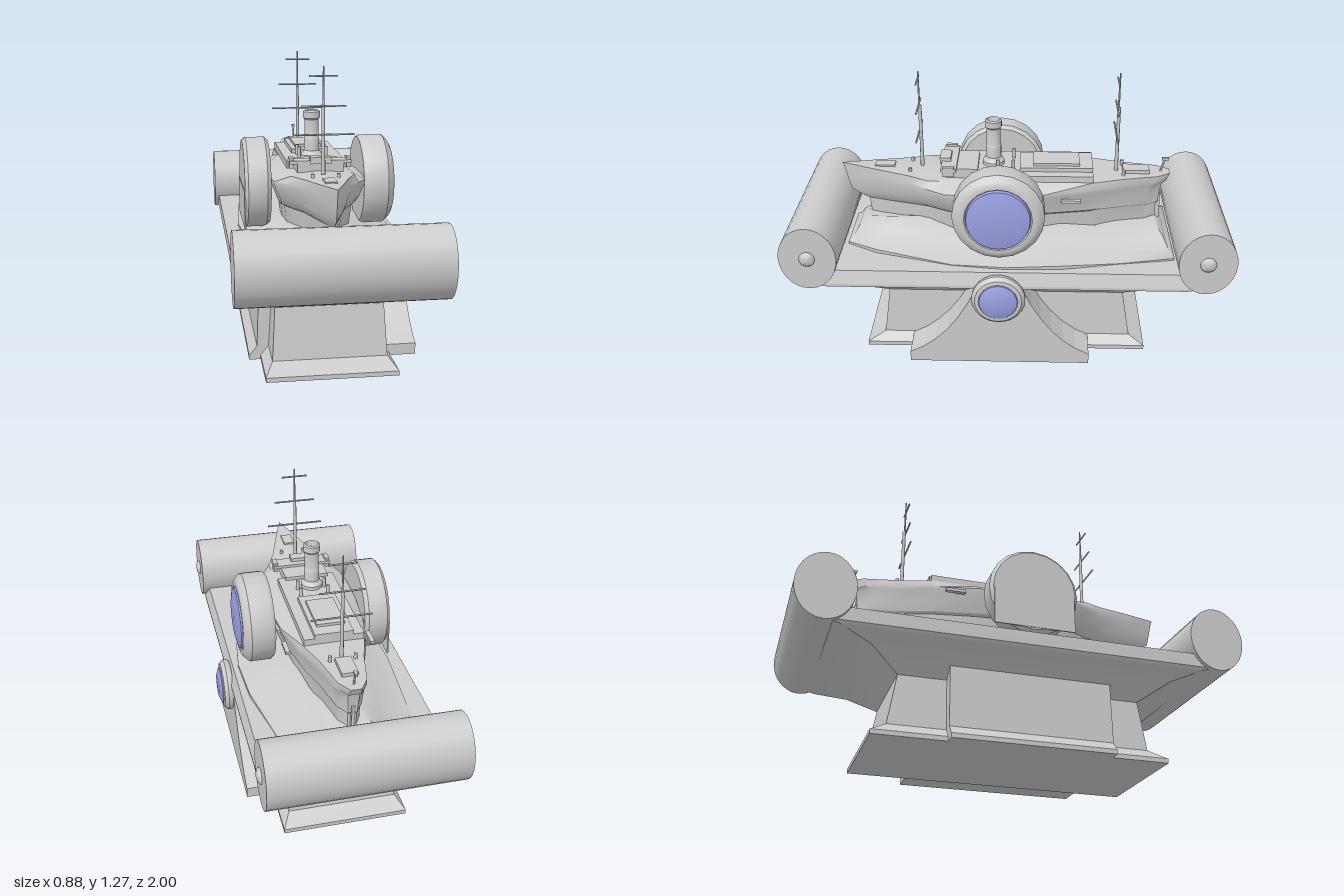
import * as THREE from 'three';
import { toCreasedNormals } from 'three/addons/utils/BufferGeometryUtils.js';

const grey = new THREE.MeshStandardMaterial({ color: 0xcccccc });
const blue = new THREE.MeshStandardMaterial({ color: 0x9aa0e4 });
const CX = -0.022; // centre line of the ship

// Skin a stack of rings (counterclockwise from above, listed bottom to top) and cap both ends.
function loft(rings, crease = 0.5) {
  const n = rings[0].length, pos = [], idx = [];
  rings.forEach(r => r.forEach(p => pos.push(...p)));
  for (let k = 0; k < rings.length - 1; k++) {
    for (let i = 0; i < n; i++) {
      const a = k * n + i, b = k * n + (i + 1) % n;
      idx.push(a, b, b + n, a, b + n, a + n);
    }
  }
  [[0, true], [rings.length - 1, false]].forEach(([k, flip]) => {
    const c = pos.length / 3;
    pos.push(...[0, 1, 2].map(j => rings[k].reduce((s, p) => s + p[j], 0) / n));
    for (let i = 0; i < n; i++) {
      const a = k * n + i, b = k * n + (i + 1) % n;
      idx.push(c, flip ? b : a, flip ? a : b);
    }
  });
  const g = new THREE.BufferGeometry();
  g.setAttribute('position', new THREE.Float32BufferAttribute(pos, 3));
  g.setIndex(idx);
  return toCreasedNormals(g, crease);
}

const rect = (x0, x1, z0, z1, y) => [[x1, y, z1], [x1, y, z0], [x0, y, z0], [x0, y, z1]];

// Turned part lying along x; the profile is [radius, x].
function turnedX(profile, segs = 32, crease = 0.6) {
  const g = new THREE.LatheGeometry(profile.map(p => new THREE.Vector2(...p)), segs);
  g.rotateZ(-Math.PI / 2);
  return toCreasedNormals(g, crease);
}

// Half width of the hull from stern (-1) to bow (1).
const plan = [[-1, 0.12], [-0.92, 0.32], [-0.7, 0.5], [-0.52, 0.72], [-0.25, 0.92], [0, 1], [0.2, 1.02],
  [0.36, 0.97], [0.46, 0.78], [0.58, 0.52], [0.8, 0.26], [1, 0]];

function hullRing(y, width, stern, bow, limit = 1, lift = 0) {
  const side = s => plan.map(([u, w]) => [
    CX + s * Math.min(w * width, limit),
    y + lift * Math.max(0, (u - 0.4) / 0.6),
    stern + (bow - stern) * (u + 1) / 2]);
  return [...side(1).reverse(), ...side(-1)];
}

export function createModel() {
  const model = new THREE.Group();
  const add = (name, geo, x = 0, y = 0, z = 0, mat = grey, parent = model) => {
    const m = new THREE.Mesh(geo, mat);
    m.name = name;
    m.position.set(x, y, z);
    parent.add(m);
    return m;
  };
  const box = (name, w, h, d, x, y, z, parent) =>
    add(name, new THREE.BoxGeometry(w, h, d), x, y, z, grey, parent);

  // Flared foot, with a wider panel on the -x side
  add('foot', loft([
    rect(-0.30, 0.26, -0.64, 0.66, 0), rect(-0.30, 0.26, -0.64, 0.66, 0.02),
    rect(-0.265, 0.225, -0.57, 0.58, 0.06), rect(-0.25, 0.212, -0.53, 0.55, 0.29)]));
  add('footPanel', loft([
    rect(-0.35, 0, -0.32, 0.40, 0), rect(-0.35, 0, -0.32, 0.40, 0.02),
    rect(-0.315, 0, -0.32, 0.40, 0.06), rect(-0.305, 0, -0.32, 0.40, 0.33)]));

  // Tray spreading out above the foot
  add('tray', loft([
    rect(-0.25, 0.212, -0.53, 0.55, 0.285), rect(-0.34, 0.31, -0.66, 0.68, 0.367),
    rect(-0.41, 0.385, -0.80, 0.80, 0.407), rect(-0.42, 0.385, -0.86, 0.86, 0.42),
    rect(-0.42, 0.365, -0.86, 0.86, 0.48)], 0.3));

  // Side support with curved shoulders
  const s = new THREE.Shape();
  s.moveTo(-0.41, 0.005);
  s.lineTo(0.41, 0.005);
  s.lineTo(0.41, 0.055);
  s.quadraticCurveTo(0.22, 0.13, 0.10, 0.41);
  s.lineTo(-0.10, 0.41);
  s.quadraticCurveTo(-0.22, 0.13, -0.41, 0.055);
  const support = new THREE.ExtrudeGeometry(s, { depth: 0.2, bevelEnabled: false, curveSegments: 6 });
  support.rotateY(Math.PI / 2);
  add('sideSupport', support, 0.18, 0, 0.035);

  // Rolls at both ends, slightly oval, each with an end knob
  for (const side of [1, -1]) {
    const roll = turnedX([[0, -0.44], [0.15, -0.44], [0.15, 0.398], [0, 0.398]], 28);
    roll.scale(1, 1, 0.85);
    add('endRoll', roll, 0, 0.555, side * 0.873);
    add('rollKnob', turnedX([[0.035, 0], [0.035, 0.008], [0.026, 0.017], [0, 0.022]], 16, 1), 0.395, 0.555, side * 0.873);
  }

  // Water swelling up around the ship
  const shore = [[0.13, 0.74], [0.21, 0.6], [0.31, 0.25], [0.34, 0], [0.33, -0.25], [0.28, -0.5], [0.24, -0.75],
    [-0.25, -0.75], [-0.33, -0.53], [-0.36, -0.1], [-0.34, 0.2], [-0.25, 0.52], [-0.15, 0.74]];
  const waterRing = (kx, kz, y, wave) => shore.map(([x, z], i) =>
    [CX + (x - CX) * kx, y + wave * Math.sin(i * 2.1), z * kz]);
  add('water', loft([
    waterRing(1, 1, 0.47, 0), waterRing(1, 1, 0.49, 0.008), waterRing(0.78, 0.97, 0.508, 0.012),
    waterRing(0.58, 0.94, 0.545, 0.02), waterRing(0.35, 0.9, 0.575, 0.015)], 0.8));

  // Hull: slim below, flared above, drawn in to the deck
  const ship = new THREE.Group();
  ship.name = 'ship';
  model.add(ship);
  add('hull', loft([
    hullRing(0.48, 0.135, -0.68, 0.64), hullRing(0.645, 0.155, -0.68, 0.655),
    hullRing(0.655, 0.168, -0.69, 0.68), hullRing(0.69, 0.18, -0.69, 0.735),
    hullRing(0.75, 0.205, -0.70, 0.75), hullRing(0.765, 0.205, -0.72, 0.76, 1, 0.03),
    hullRing(0.80, 0.19, -0.735, 0.77, 0.137, 0.025)], 0.5), 0, 0, 0, grey, ship);

  // Deck houses, hatch, bridge and fittings
  box('deckHouse', 0.264, 0.035, 0.55, CX, 0.812, -0.105, ship);
  box('cabinRoof', 0.17, 0.02, 0.33, CX, 0.838, -0.215, ship);
  box('hatch', 0.125, 0.025, 0.21, CX, 0.848, -0.215, ship);
  box('bridge', 0.20, 0.05, 0.16, CX, 0.82, 0.22, ship);
  box('bridgeRoof', 0.27, 0.014, 0.07, CX, 0.85, 0.27, ship);
  box('wheelHouse', 0.09, 0.03, 0.05, CX, 0.858, 0.29, ship);
  box('foreHatch', 0.05, 0.02, 0.09, CX, 0.815, 0.57, ship);
  box('aftCabin', 0.07, 0.02, 0.12, CX, 0.807, -0.58, ship);
  for (const side of [1, -1]) {
    box('bridgeWing', 0.02, 0.045, 0.05, CX + side * 0.125, 0.845, 0.27, ship);
    for (const z of [-0.28, -0.10]) box('sideFender', 0.02, 0.014, 0.09, CX + side * 0.19, 0.735, z, ship);
    for (const z of [-0.02, 0.05]) {
      add('ventilator', new THREE.CylinderGeometry(0.008, 0.008, 0.05, 8), CX + side * 0.062, 0.85, z, grey, ship);
    }
    for (const z of [0.45, -0.52]) {
      add('bollard', new THREE.CylinderGeometry(0.008, 0.008, 0.025, 8), CX + side * 0.055, 0.815, z, grey, ship);
    }
  }

  // Funnel with a flared foot and collars
  const funnel = [[0.05, 0.82], [0.05, 0.845], [0.035, 0.865], [0.035, 0.92], [0.032, 0.925], [0.032, 1.005],
    [0.038, 1.012], [0.038, 1.04], [0.03, 1.046], [0.026, 1.02], [0, 1.02]];
  const funnelGeo = new THREE.LatheGeometry(funnel.map(p => new THREE.Vector2(...p)), 20);
  add('funnel', toCreasedNormals(funnelGeo, 0.6), CX - 0.008, 0, 0.072, grey, ship);

  // Masts with three yards each
  for (const z of [0.4, -0.49]) {
    const mast = new THREE.Group();
    mast.name = 'mast';
    mast.position.set(CX - 0.003, 0, z);
    ship.add(mast);
    add('lowerMast', new THREE.CylinderGeometry(0.007, 0.009, 0.32, 8), 0, 0.95, 0, grey, mast);
    add('topMast', new THREE.CylinderGeometry(0.003, 0.006, 0.28, 8), 0, 1.13, 0.003, grey, mast);
    for (const [y, len] of [[0.985, 0.26], [1.105, 0.19], [1.23, 0.12]]) {
      const yard = new THREE.CylinderGeometry(0.004, 0.004, len, 6);
      yard.rotateZ(Math.PI / 2);
      add('yard', yard, 0, y, 0.008, grey, mast);
    }
  }

  // Stern post
  const staff = add('sternStaff', new THREE.CylinderGeometry(0.004, 0.005, 0.08, 6), CX, 0.825, -0.70, grey, ship);
  staff.rotation.x = -0.25;
  box('sternLamp', 0.012, 0.012, 0.03, CX, 0.862, -0.712, ship);
  box('rudder', 0.014, 0.16, 0.03, CX, 0.61, -0.685, ship);

  // Paddle drums either side of the ship
  add('rightDrum', turnedX([[0, 0.185], [0.195, 0.185], [0.205, 0.20], [0.205, 0.295], [0.185, 0.317],
    [0.168, 0.327], [0.150, 0.327], [0.142, 0.315], [0, 0.315]], 20), 0, 0.72, 0.04);
  add('leftDrum', turnedX([[0, -0.345], [0.19, -0.345], [0.205, -0.33], [0.205, -0.245],
    [0.19, -0.228], [0, -0.228]], 20), 0, 0.72, 0.045);
  box('leftDrumStep', 0.006, 0.17, 0.37, -0.345, 0.625, 0.045);

  // Round frame on the support, and the two coloured discs
  add('lowerFrame', turnedX([[0, 0.36], [0.115, 0.375], [0.12, 0.385], [0.12, 0.40], [0.105, 0.417],
    [0.088, 0.42], [0.085, 0.412], [0, 0.412]], 24), 0, 0.36, 0.038);
  add('upperDisc', turnedX([[0.145, 0.315], [0.14, 0.333], [0.1, 0.342], [0, 0.347]], 28, 0.8), 0, 0.72, 0.04, blue);
  add('lowerDisc', turnedX([[0.088, 0.41], [0.085, 0.424], [0.055, 0.436], [0, 0.438]], 24, 0.8), 0, 0.36, 0.038, blue);

  return model;
}
